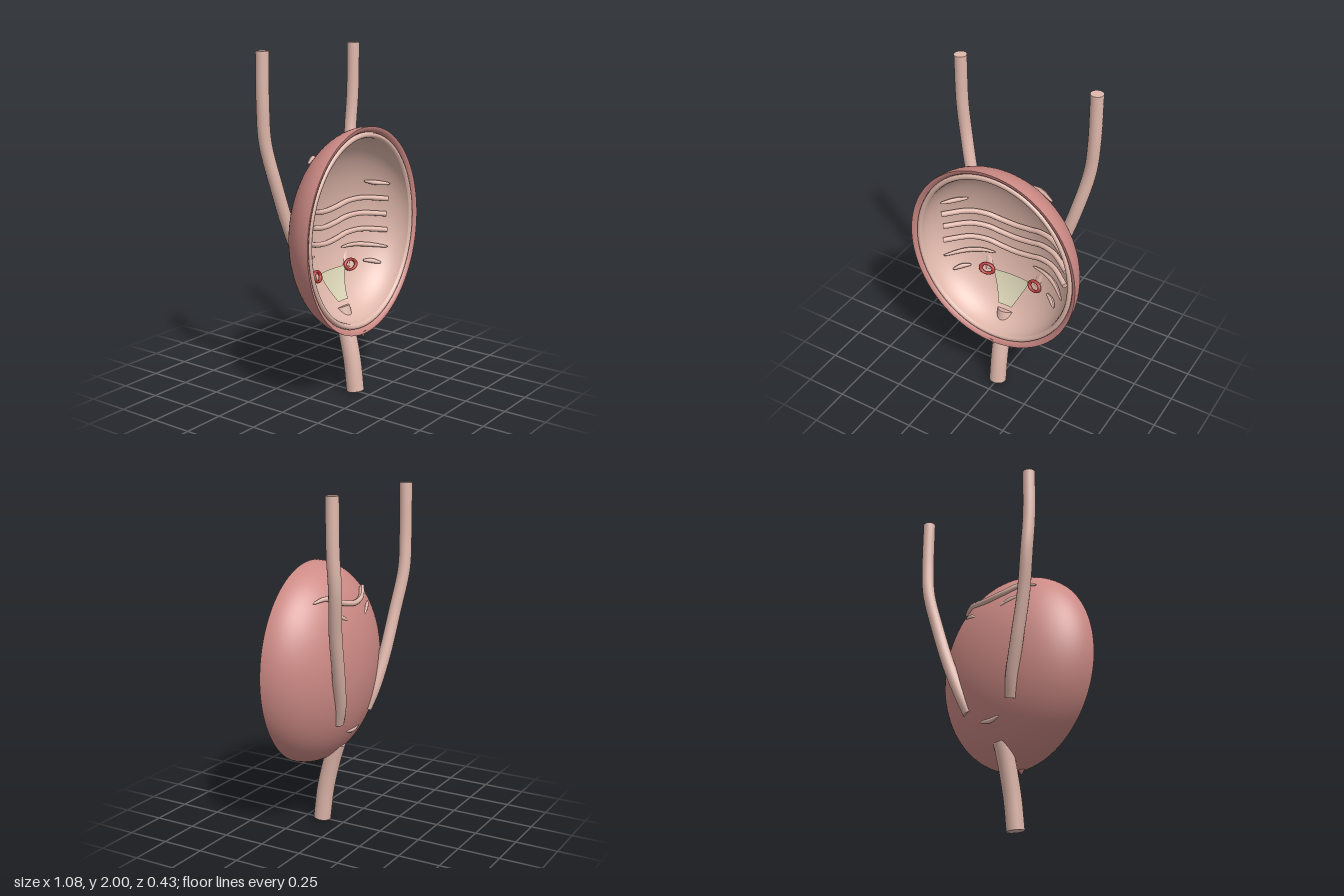
import * as THREE from 'three';
import { mergeGeometries } from 'three/addons/utils/BufferGeometryUtils.js';

const mat = (color, side = THREE.FrontSide) => new THREE.MeshStandardMaterial({ color, side });
const wallMat = mat(0xcd8a85);
const pinkMat = mat(0xe0b8ac);
const ringMat = mat(0xb8403c);
const patchMat = mat(0xd8d2b4, THREE.DoubleSide);

const CY = 0.975, CZ = 0.215;            // centre of the cut ellipsoid
const OUTER = [0.54, 0.6, 0.355];
const INNER = [0.48, 0.534, 0.31];

// Point on the rear half of an ellipsoid, pushed forward by lift
function onWall(x, y, [a, b, c], lift = 0) {
  const k = 1 - (x / a) ** 2 - ((y - CY) / b) ** 2;
  return new THREE.Vector3(x, y, CZ - c * Math.sqrt(Math.max(k, 0)) + lift);
}

// Capped tube through points; taper is the fraction of the length that narrows at each end
function tube(points, radius, { segments = 40, sides = 16, taper = 0 } = {}) {
  const curve = new THREE.CatmullRomCurve3(points);
  const body = new THREE.TubeGeometry(curve, segments, radius, sides);
  const scaleAt = (t) => taper ? 0.25 + 0.75 * Math.sqrt(Math.min(1, t / taper, (1 - t) / taper)) : 1;
  if (taper) {
    const pos = body.attributes.position, v = new THREE.Vector3();
    for (let i = 0; i < pos.count; i++) {
      const t = Math.floor(i / (sides + 1)) / segments;
      const c = curve.getPointAt(t);
      v.fromBufferAttribute(pos, i).sub(c).multiplyScalar(scaleAt(t)).add(c);
      pos.setXYZ(i, v.x, v.y, v.z);
    }
    body.computeVertexNormals();
  }
  const caps = [0, 1].map((t) => {
    const dir = curve.getTangentAt(t).multiplyScalar(t ? 1 : -1);
    const cap = new THREE.CircleGeometry(radius * scaleAt(t), sides);
    cap.applyQuaternion(new THREE.Quaternion().setFromUnitVectors(new THREE.Vector3(0, 0, 1), dir));
    const p = curve.getPointAt(t);
    return cap.translate(p.x, p.y, p.z);
  });
  return mergeGeometries([body, ...caps]);
}

// Elliptical lathe about z: profile pairs are [fraction of outer radius, z]
function dome(profile) {
  const g = new THREE.LatheGeometry(profile.map(([r, z]) => new THREE.Vector2(r, z)), 96);
  // bake the squash so that normals follow the ellipse
  g.rotateX(Math.PI / 2);
  g.scale(OUTER[0], OUTER[1], 1);
  return g.translate(0, CY, 0);
}

// Quarter arc from the rear pole to the rim
const arc = (r, depth, zRim) => Array.from({ length: 33 }, (_, i) => {
  const a = (i / 32) * Math.PI / 2;
  return [r * Math.sin(a), zRim - depth * Math.cos(a)];
});

export function createModel() {
  const model = new THREE.Group();
  const add = (name, geometry, material) => {
    const mesh = new THREE.Mesh(geometry, material);
    mesh.name = name;
    model.add(mesh);
    return mesh;
  };

  // Cut wall: outside, rounded cut edge, lining lip and lining
  add('outerWall', dome(arc(1, OUTER[2], CZ)), wallMat);
  add('cutEdge', dome([[1, 0.215], [0.985, 0.214], [0.96, 0.207], [0.945, 0.192]]), wallMat);
  add('liningLip', dome([[0.945, 0.19], [0.938, 0.204], [0.92, 0.209], [0.9, 0.205], [0.89, 0.192]]), pinkMat);
  add('lining', dome(arc(0.89, INNER[2] - 0.02, 0.195).reverse()), pinkMat);

  // Ragged points under the cut edge
  for (const [x, y, r] of [[0, 0.367, 0.035], [0.13, 0.388, 0.022]]) {
    const spur = add('edgeSpur', new THREE.ConeGeometry(r, 0.045, 8), wallMat);
    spur.rotation.x = Math.PI;
    spur.scale.z = 0.4;
    spur.position.set(x, y, 0.2);
  }

  // Outlet tube with its flat end showing inside
  const outlet = [[0.01, 0.147], [0.2, 0.122], [0.38, 0.08], [0.505, 0.042]];
  add('outletTube', tube(outlet.map(([y, z]) => new THREE.Vector3(0, y, z)), 0.052, { sides: 24 }), pinkMat);

  // Paired upper tubes and the rings where they open
  const duct = [[0.42, 2, -0.175], [0.418, 1.7, -0.178], [0.4, 1.5, -0.18], [0.345, 1.25, -0.15],
    [0.27, 1.0, -0.125], [0.2, 0.8, -0.092], [0.165, 0.69, -0.058]];
  for (const s of [-1, 1]) {
    const side = s > 0 ? 'left' : 'right';
    add(side + 'UpperTube', tube(duct.map(([x, y, z]) => new THREE.Vector3(s * x, y, z)), 0.037, { segments: 60 }), pinkMat);
    const ring = add(side + 'OpeningRing', new THREE.TorusGeometry(0.04, 0.011, 12, 32), ringMat);
    ring.scale.y = 0.75;
    ring.position.copy(onWall(s * 0.163, 0.715, INNER, 0.028));
    ring.rotation.set(-0.3, -s * 0.25, 0);
  }

  // Pale patch between the openings, following the lining
  const patch = new THREE.PlaneGeometry(1, 1, 12, 12);
  const pp = patch.attributes.position;
  for (let i = 0; i < pp.count; i++) {
    const v = pp.getY(i) + 0.5;
    const x = pp.getX(i) * THREE.MathUtils.lerp(0.09, 0.25, v);
    const p = onWall(x, THREE.MathUtils.lerp(0.545, 0.718, v), INNER, 0.025);
    pp.setXYZ(i, p.x, p.y, p.z);
  }
  patch.computeVertexNormals();
  add('trianglePatch', patch, patchMat);

  // Long wavy folds across the lining
  const wave = [[0, -0.025], [0.1, -0.013], [0.18, 0.008], [0.28, 0.015], [0.41, -0.002]];
  const fullWave = [...wave.slice(1).reverse().map(([x, y]) => [-x, y]), ...wave];
  for (const y0 of [1.085, 0.99, 0.893]) {
    const pts = fullWave.map(([x, y]) => onWall(x, y0 + y, INNER, 0.022));
    add('longFold', tube(pts, 0.016, { segments: 64, sides: 10 }), pinkMat);
  }

  // Short paired folds near the sides
  const shortFolds = [
    [[0.27, 1.205], [0.33, 1.19], [0.4, 1.178]],
    [[0.13, 0.82], [0.21, 0.823], [0.3, 0.812], [0.4, 0.79]],
    [[0.26, 0.722], [0.3, 0.716], [0.345, 0.7]],
  ];
  for (const s of [-1, 1]) for (const f of shortFolds) {
    const pts = f.map(([x, y]) => onWall(s * x, y, INNER, 0.018));
    add('shortFold', tube(pts, 0.014, { segments: 24, sides: 10, taper: 0.4 }), pinkMat);
  }

  // Folds that surface on the rear of the wall
  const rear = [[-0.285, 1.39], [-0.2, 1.405], [-0.1, 1.37], [0, 1.355], [0.1, 1.37], [0.2, 1.405], [0.285, 1.39]];
  add('rearFold', tube(rear.map(([x, y]) => onWall(x, y, OUTER, -0.014)), 0.016,
    { segments: 64, sides: 10, taper: 0.2 }), pinkMat);
  const rearShort = [
    [[-0.22, 1.32], [-0.16, 1.305], [-0.1, 1.275]],
    [[0.1, 1.275], [0.16, 1.305], [0.22, 1.32]],
    [[-0.07, 0.61], [0, 0.6], [0.07, 0.61]],
  ];
  for (const f of rearShort) {
    add('rearShortFold', tube(f.map(([x, y]) => onWall(x, y, OUTER, 0.004)), 0.014,
      { segments: 24, sides: 10, taper: 0.4 }), pinkMat);
  }
  return model;
}
